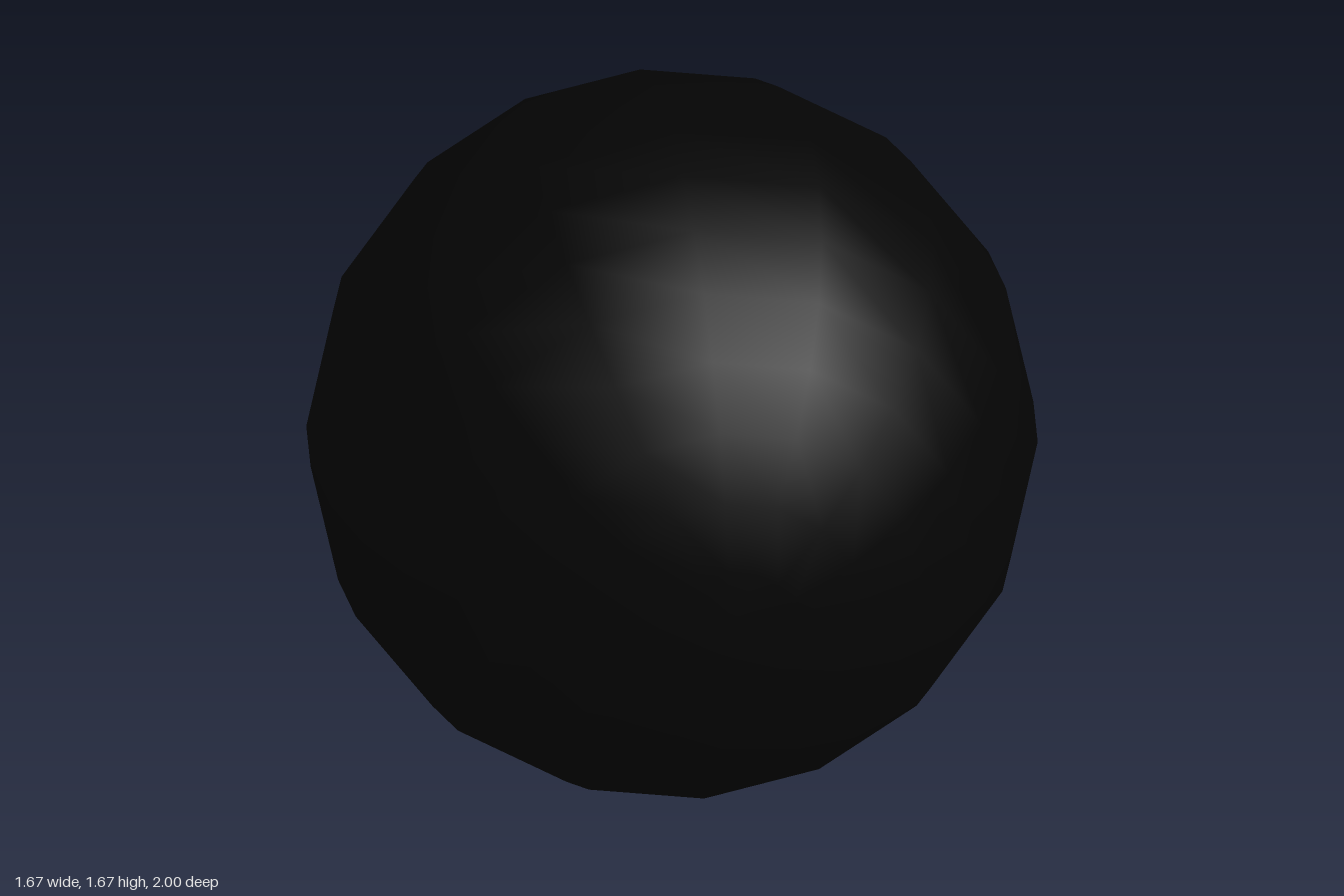
import * as THREE from 'three';

const SIDES = 16;
const RADIUS = 0.836;
const CENTRE_Z = 1 - RADIUS;

export function createModel() {
  const model = new THREE.Group();
  model.name = 'bauble';

  const black = new THREE.MeshStandardMaterial({ color: 0x040404 });
  black.name = 'black';
  const grey = new THREE.MeshStandardMaterial({ color: 0xcccccc });
  grey.name = 'light grey';

  // Round body, poles along z, left open where the cap sits
  const bodyGeometry = new THREE.SphereGeometry(RADIUS, SIDES, 14, 0, Math.PI * 2, 0, Math.PI * 14 / 16);
  bodyGeometry.rotateX(Math.PI / 2);
  const body = new THREE.Mesh(bodyGeometry, black);
  body.name = 'body';
  body.position.set(0, RADIUS, CENTRE_Z);
  model.add(body);

  // Faceted cap parts turned around the z axis; profiles are [radius, distance behind origin]
  const addTurned = (name, profile) => {
    const points = profile.map(([r, d]) => new THREE.Vector2(r, d));
    let geometry = new THREE.LatheGeometry(points, SIDES).toNonIndexed();
    geometry.rotateX(-Math.PI / 2);
    geometry.computeVertexNormals();
    const mesh = new THREE.Mesh(geometry, grey);
    mesh.name = name;
    mesh.position.y = RADIUS;
    model.add(mesh);
  };

  const seam = RADIUS * Math.sin(Math.PI / 8);
  const seamDepth = RADIUS * Math.cos(Math.PI / 8) - CENTRE_Z;
  addTurned('collar', [[seam, seamDepth], [0.27, 0.775], [0.135, 0.815]]);
  addTurned('nozzle', [[0.135, 0.815], [0.074, 0.995], [0.068, 1], [0, 1]]);

  return model;
}
